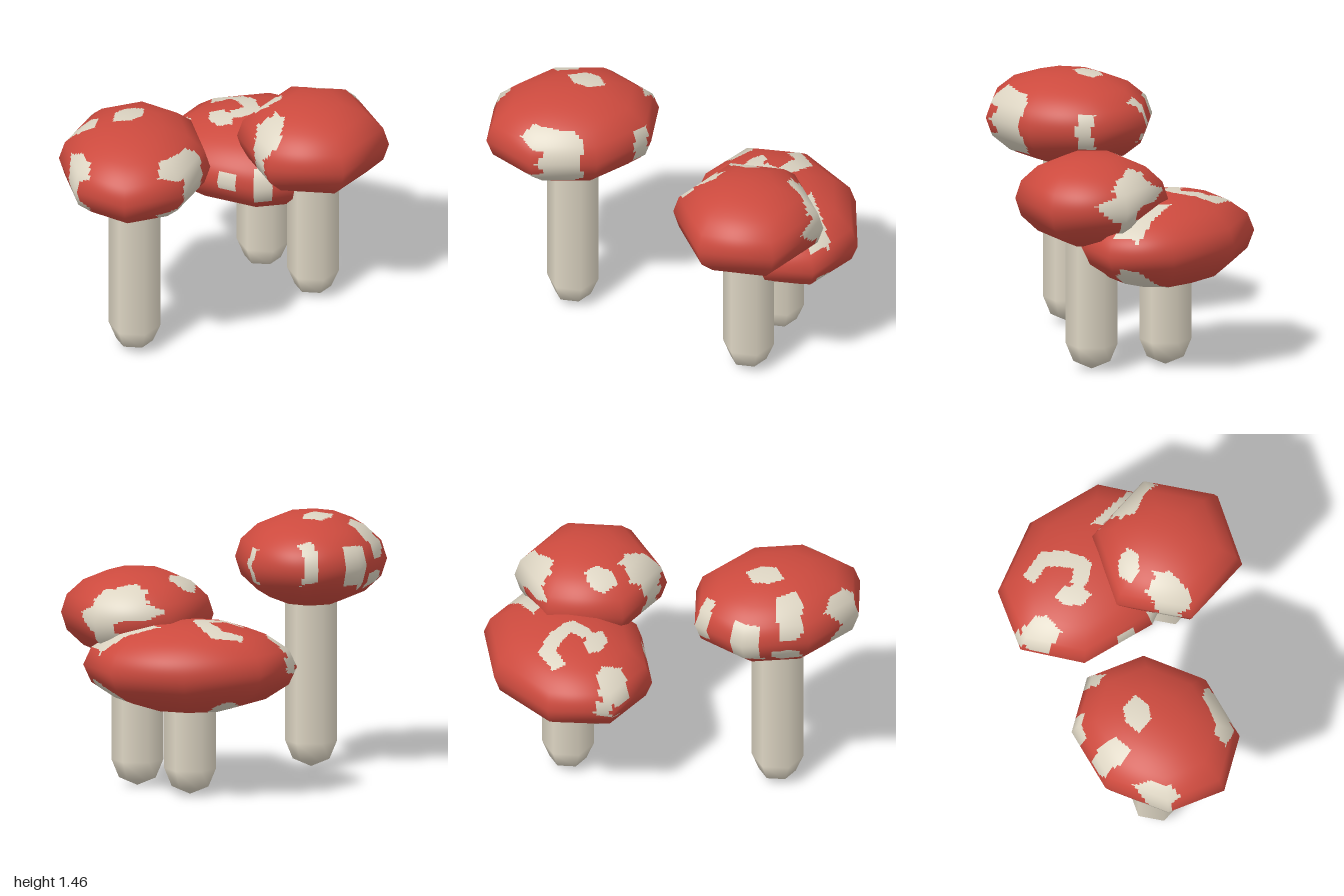
import * as THREE from 'three';

const capRed = new THREE.MeshStandardMaterial({ color: 0xcc4a3e });
capRed.name = 'capRed';
const cream = new THREE.MeshStandardMaterial({ color: 0xdcd4c2 });
cream.name = 'cream';

// Directions from which spots are stencilled onto a cap: [yaw, pitch] in degrees
const FRONT = [0, 0], SIDE = [90, 0], TOP = [0, 90], BACK = [215, 25], UNDER = [140, -30];

// A spot is a square-brush stroke: direction, half width, then x, y pairs,
// in hundredths of a unit from the cap centre. Returns a test for cap points.
function spot([yaw, pitch], halfWidth, ...path) {
  const a = THREE.MathUtils.degToRad(yaw), e = THREE.MathUtils.degToRad(pitch);
  const right = new THREE.Vector3(Math.cos(a), 0, -Math.sin(a));
  const toward = new THREE.Vector3(Math.sin(a) * Math.cos(e), Math.sin(e), Math.cos(a) * Math.cos(e));
  const up = toward.clone().cross(right);
  return (p, n) => {
    if (n.dot(toward) < 0.1) return false;
    const x = p.dot(right) * 100, y = p.dot(up) * 100;
    for (let i = 0; i < Math.max(path.length - 2, 2); i += 2) {
      const [x0, y0, x1 = x0, y1 = y0] = path.slice(i, i + 4);
      const dx = x1 - x0, dy = y1 - y0;
      const along = ((x - x0) * dx + (y - y0) * dy) / (dx * dx + dy * dy || 1);
      const t = THREE.MathUtils.clamp(along, 0, 1);
      if (Math.max(Math.abs(x - x0 - dx * t), Math.abs(y - y0 - dy * t)) < halfWidth) return true;
    }
    return false;
  };
}

const tallSpots = [
  spot(FRONT, 3.5, -25, 12, -31, 8, -31, -9, -25, -13),
  spot(FRONT, 3.5, 21, 15, 35, 10, 35, -10, 20, -16),
  spot(SIDE, 9.5, -18, 7, -18, -9),
  spot(SIDE, 4.5, 30, 5, 30, -6),
  spot(TOP, 5.5, -2, 13, -7, 7),
  spot(TOP, 6, -34, 9, -28, 5),
  spot(BACK, 4, -24, -5, -25, -20),
  spot(BACK, 7.5, 4, -14, 4, -20),
  spot(BACK, 3, 20, -23, 27, -20),
];

const middleSpots = [
  spot(FRONT, 3.2, -18, 18, -28, 5, -27, -10, -20, -19),
  spot(TOP, 4.5, -3, 32, 18, 32),
  spot(TOP, 4, -29, 3, -23, 9),
  spot(TOP, 4.5, -26, -15, -19, -18, -22, -23),
  spot(UNDER, 6, 10, 25, 10, 12),
  spot(UNDER, 5, 14, 25, 31, 18),
  spot(BACK, 7, -19, 3, -32, -4),
];

const wideSpots = [
  spot(FRONT, 5.5, -16, 1),
  spot(FRONT, 5, 5, 6, 6, -5),
  spot(FRONT, 3, -5, -22, 9, -22),
  spot(FRONT, 3, -44, -15),
  spot(TOP, 4, -27, 20, -17, 21, -9, 10, -6, 1, -14, -4),
  spot(TOP, 4, -26, -3, -20, -10),
  spot(TOP, 6, -52, -4, -47, -8),
  spot(TOP, 4.5, 29, 7, 46, 9),
  spot(BACK, 3, 38, 5, 46, -7),
  spot(BACK, 4, 44, -14),
  spot(SIDE, 6.5, 6, -18),
  spot(SIDE, 7, 7, 17),
  spot(UNDER, 5, -34, 8, -18, -8),
  spot(UNDER, 4, 22, -22, 33, -15),
];

// Low-sided ellipsoid whose flat panels are split into small cells, each red or cream
function makeCap(radii, sides, spots) {
  const RINGS = 8, N = 16;
  const size = new THREE.Vector3(...radii);
  const ball = (i, j) => {
    const a = (i / sides) * Math.PI * 2, b = (j / RINGS) * Math.PI;
    return new THREE.Vector3(Math.cos(a) * Math.sin(b), Math.cos(b), -Math.sin(a) * Math.sin(b));
  };
  const blend = (q, s, t) => q[0].clone().lerp(q[1], s).lerp(q[2].clone().lerp(q[3], s), t);
  const red = { p: [], n: [] }, pale = { p: [], n: [] };

  for (let i = 0; i < sides; i++) for (let j = 0; j < RINGS; j++) {
    const unit = [ball(i, j), ball(i + 1, j), ball(i, j + 1), ball(i + 1, j + 1)];
    const pos = unit.map(v => v.clone().multiply(size));
    const nor = unit.map(v => v.clone().divide(size).normalize());
    for (let s = 0; s < N; s++) for (let t = 0; t < N; t++) {
      const mid = [(s + 0.5) / N, (t + 0.5) / N];
      const p = blend(pos, ...mid), n = blend(nor, ...mid).normalize();
      const target = spots.some(covers => covers(p, n)) ? pale : red;
      for (const [ds, dt] of [[0, 0], [0, 1], [1, 1], [0, 0], [1, 1], [1, 0]]) {
        const c = [(s + ds) / N, (t + dt) / N];
        target.p.push(...blend(pos, ...c).toArray());
        target.n.push(...blend(nor, ...c).normalize().toArray());
      }
    }
  }
  const geo = new THREE.BufferGeometry();
  geo.setAttribute('position', new THREE.Float32BufferAttribute(red.p.concat(pale.p), 3));
  geo.setAttribute('normal', new THREE.Float32BufferAttribute(red.n.concat(pale.n), 3));
  geo.addGroup(0, red.p.length / 3, 0);
  geo.addGroup(red.p.length / 3, pale.p.length / 3, 1);
  const cap = new THREE.Mesh(geo, [capRed, cream]);
  cap.name = 'cap';
  return cap;
}

// Six-sided stem with a rounded foot, ending inside the cap
function makeStem(height) {
  const r = 0.147;
  const stem = new THREE.Mesh(new THREE.CapsuleGeometry(r, height - 2 * r, 2, 6), cream);
  stem.name = 'stem';
  stem.position.y = height / 2;
  return stem;
}

function makeMushroom(name, [x, y, z], radii, sides, spots) {
  const group = new THREE.Group();
  group.name = name;
  group.position.set(x, 0, z);
  const cap = makeCap(radii, sides, spots);
  cap.position.y = y;
  group.add(cap, makeStem(y + 0.08));
  return group;
}

export function createModel() {
  const model = new THREE.Group();
  model.name = 'mushroomCluster';
  model.add(
    makeMushroom('tallMushroom', [-0.47, 1.195, 0.48], [0.43, 0.267, 0.515], 8, tallSpots),
    makeMushroom('middleMushroom', [0.46, 0.985, -0.25], [0.432, 0.265, 0.432], 6, middleSpots),
    makeMushroom('wideMushroom', [0.14, 0.733, -0.54], [0.605, 0.263, 0.46], 8, wideSpots),
  );
  return model;
}
